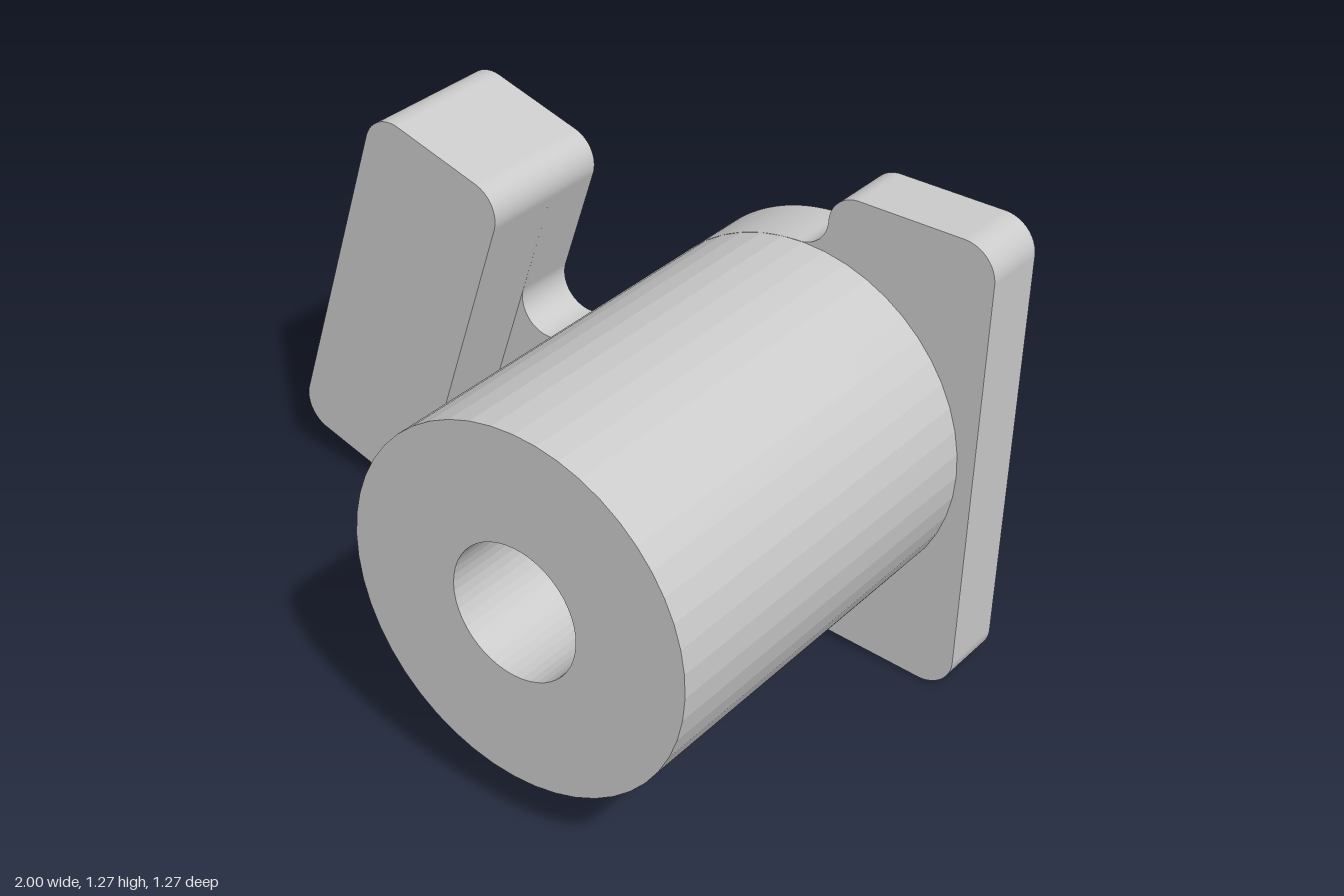
import * as THREE from 'three';

const PI = Math.PI;
const BACK = -0.635, FRONT = 0.635, PLATE_FRONT = -0.455, BLOCK_FRONT = -0.23, POCKET_FLOOR = -0.215;
const BOSS = { x: 0.48, y: 0.635, r: 0.475 };
const TILT = 0.288; // lean of the side block
const R = 0.09; // corner radius

// Leaning block extents, measured along its own axes
const BLOCK = { u0: -1.017, u1: -0.565, v0: -0.161, v1: 0.927 };

function toWorld(u, v) {
  const c = Math.cos(TILT), s = Math.sin(TILT);
  return [c * u + s * v, -s * u + c * v];
}

// Rounded corner of the leaning block; quarter 0 = top right, then counter-clockwise
function blockCorner(shape, quarter) {
  const u = quarter === 0 || quarter === 3 ? BLOCK.u1 - R : BLOCK.u0 + R;
  const v = quarter < 2 ? BLOCK.v1 - R : BLOCK.v0 + R;
  const start = quarter * PI / 2 - TILT;
  shape.absarc(...toWorld(u, v), R, start, start + PI / 2, false);
}

function blockShape() {
  const s = new THREE.Shape();
  for (let q = 0; q < 4; q++) blockCorner(s, q);
  s.closePath();
  return s;
}

function plateShape() {
  const s = new THREE.Shape();
  s.moveTo(-0.567, 0);
  // right side and raised tab
  s.absarc(1 - R, R, R, -PI / 2, 0, false);
  s.absarc(1 - R, 1.27 - R, R, 0, PI / 2, false);
  s.absarc(0.625, 1.19, 0.08, PI / 2, PI, false);
  // fillet into the boss, then round the boss
  s.absarc(0.465, 1.19, 0.08, 0, 1.598 - PI, true);
  s.absarc(BOSS.x, BOSS.y, BOSS.r, 1.598, PI, false);
  // notch with filleted floor
  s.absarc(BOSS.x - BOSS.r - R, 0.635, R, 0, -PI / 2, true);
  s.absarc(-0.307, 0.635, R, -PI / 2, -PI - TILT, true);
  // around the leaning block
  for (let q = 0; q < 3; q++) blockCorner(s, q);
  s.closePath();
  return s;
}

function bossShape() {
  const s = new THREE.Shape();
  s.absarc(BOSS.x, BOSS.y, BOSS.r, 0, 2 * PI, false);
  return s;
}

function hexHole() {
  const pts = [];
  for (let i = 0; i < 6; i++) {
    const a = -i * PI / 3;
    pts.push(new THREE.Vector2(BOSS.x + 0.375 * Math.cos(a), BOSS.y + 0.375 * Math.sin(a)));
  }
  return new THREE.Path(pts).closePath();
}

function roundHole() {
  return new THREE.Path().absarc(BOSS.x, BOSS.y, 0.177, 0, 2 * PI, true);
}

export function createModel() {
  const group = new THREE.Group();
  const material = new THREE.MeshStandardMaterial({ color: 0xcccccc });

  function slab(name, shape, z0, z1, hole) {
    if (hole) shape.holes.push(hole);
    const geometry = new THREE.ExtrudeGeometry(shape, { depth: z1 - z0, bevelEnabled: false, curveSegments: 24 });
    geometry.translate(0, 0, z0);
    const mesh = new THREE.Mesh(geometry, material);
    mesh.name = name;
    group.add(mesh);
  }

  slab('backPlate', plateShape(), BACK, PLATE_FRONT, hexHole());
  slab('leaningBlock', blockShape(), PLATE_FRONT, BLOCK_FRONT);
  // hexagonal pocket at the back, round bore through the front
  slab('bossPocketSection', bossShape(), PLATE_FRONT, POCKET_FLOOR, hexHole());
  slab('bossBoreSection', bossShape(), POCKET_FLOOR, FRONT, roundHole());
  return group;
}
